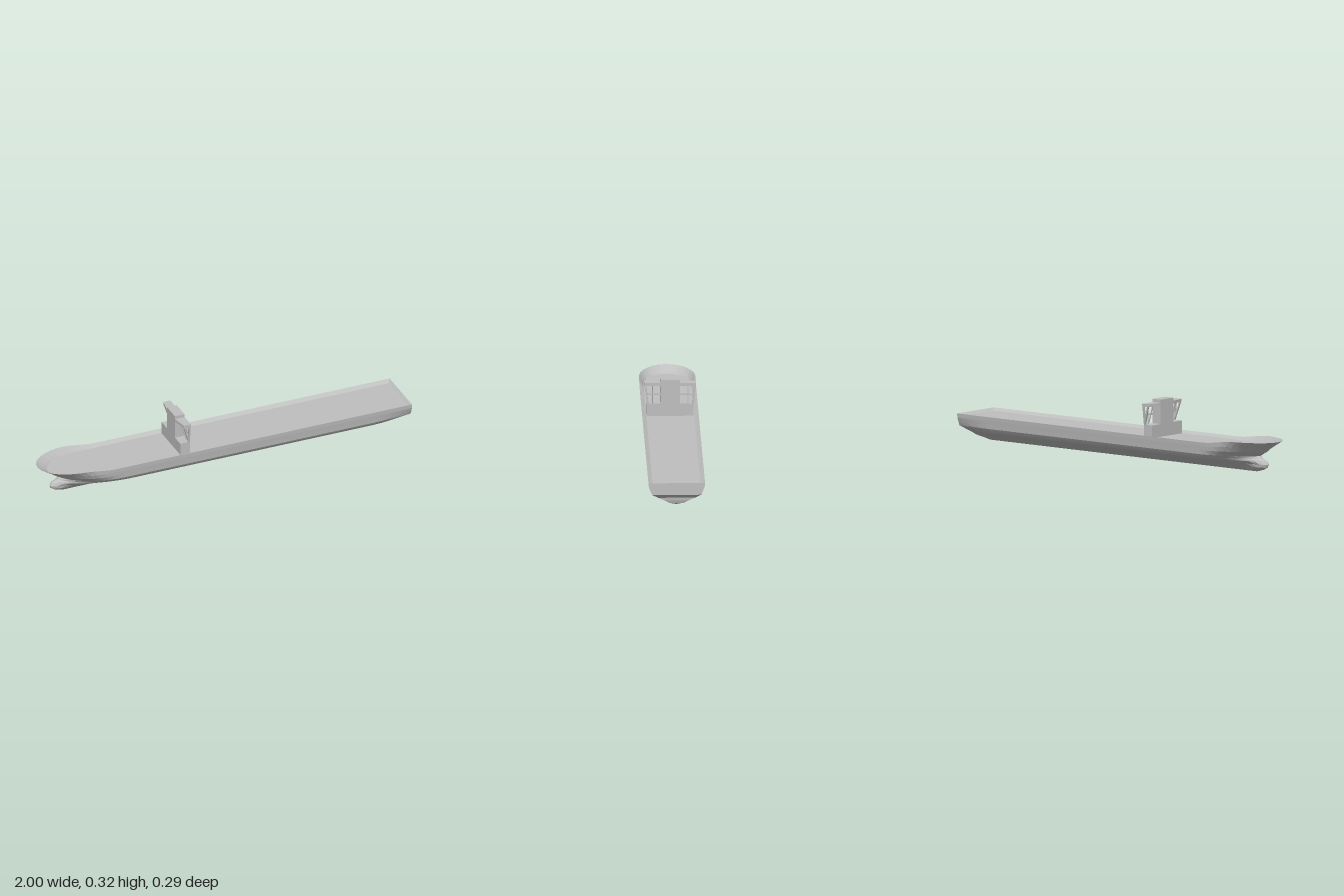
import * as THREE from 'three';

const lerp = THREE.MathUtils.lerp;

// Waterlines: y, half breadth, stem x, full-width x, entry power, bulb half width, stern x, stern narrowing
const waterlines = [
  [0, 0, -0.86, -0.55, 1, 0, 0.90, 1],
  [0.012, 0.026, -0.905, -0.5, 2, 0.015, 0.93, 0.6],
  [0.025, 0.055, -0.928, -0.5, 2, 0.024, 0.965, 0.65],
  [0.04, 0.087, -0.935, -0.5, 2, 0.026, 0.97, 0.7],
  [0.055, 0.118, -0.925, -0.52, 1.8, 0.022, 0.972, 0.8],
  [0.067, 0.128, -0.895, -0.55, 1.6, 0.012, 0.985, 0.86],
  [0.078, 0.135, -0.88, -0.58, 1.4, 0, 1, 0.92],
  [0.1, 0.138, -0.92, -0.65, 1.2, 0, 1, 0.97],
  [0.12, 0.141, -0.95, -0.7, 1.1, 0, 1, 1],
  [0.14, 0.143, -1, -0.78, 1, 0, 1, 1],
];
const deckLines = [
  [0.14, 0.143, -1, -0.78, 1, 0, 1, 1],
  [0.127, 0.121, -0.945, -0.76, 1, 0, 0.985, 1],
];
const deckPlane = [
  [0.127, 0.121, -0.945, -0.76, 1, 0, 0.985, 1],
  [0.127, 0, -0.945, -0.76, 1, 0, 0.985, 1],
];

// Quarter-ellipse rise from 0 to 1
const round = (u) => Math.sqrt(1 - (1 - THREE.MathUtils.clamp(u, 0, 1)) ** 2);

// Points of one waterline, from the stem along the side and across the stern
function waterlinePoints([y, breadth, stem, full, power, bulb, stern, narrow], withSheer) {
  const xs = [];
  for (let k = 0; k <= 14; k++) xs.push(lerp(stem, -0.5, (k / 14) ** 1.6));
  xs.push(0.14);
  for (let k = 0; k <= 4; k++) xs.push(lerp(0.8, stern, k / 4));
  const points = xs.map((x) => {
    const body = breadth * round((x - stem) / (full - stem)) ** power;
    const nose = bulb * round((x - stem) / 0.06);
    const aft = lerp(1, narrow, Math.max(0, (x - 0.8) / (stern - 0.8)) ** 1.5);
    const rise = withSheer ? 0.021 * (1 - THREE.MathUtils.smoothstep(x, -0.82, -0.62)) * (y / 0.14) ** 4 : 0;
    return new THREE.Vector3(x, y + rise, Math.max(body, nose) * aft);
  });
  const corner = points[points.length - 1];
  for (const f of [0.5, 0]) points.push(new THREE.Vector3(corner.x, corner.y, corner.z * f));
  return points;
}

// Skin between successive rows, mirrored to both sides
function skin(rows) {
  const positions = [];
  const area = new THREE.Triangle();
  const addTriangle = (a, b, c) => {
    if (area.set(a, b, c).getArea() < 1e-9) return;
    for (const p of [a, b, c]) positions.push(p.x, p.y, p.z);
    for (const p of [a, c, b]) positions.push(p.x, p.y, -p.z);
  };
  for (let r = 0; r < rows.length - 1; r++) {
    for (let c = 0; c < rows[r].length - 1; c++) {
      const a = rows[r][c], b = rows[r][c + 1], d = rows[r + 1][c], e = rows[r + 1][c + 1];
      addTriangle(a, b, e);
      addTriangle(a, e, d);
    }
  }
  const geometry = new THREE.BufferGeometry();
  geometry.setAttribute('position', new THREE.Float32BufferAttribute(positions, 3));
  geometry.computeVertexNormals();
  return geometry;
}

export function createModel() {
  const model = new THREE.Group();
  model.name = 'cargoShip';
  const grey = new THREE.MeshStandardMaterial({ color: 0xbfbfbf, flatShading: true, side: THREE.DoubleSide });
  grey.name = 'light grey';

  const add = (parent, name, geometry) => {
    const mesh = new THREE.Mesh(geometry, grey);
    mesh.name = name;
    parent.add(mesh);
    return mesh;
  };
  const box = (parent, name, x0, x1, y0, y1, z0, z1) =>
    add(parent, name, new THREE.BoxGeometry(x1 - x0, y1 - y0, Math.abs(z1 - z0)))
      .position.set((x0 + x1) / 2, (y0 + y1) / 2, (z0 + z1) / 2);

  // Square bar between two points
  const bar = (parent, name, from, to, thick, wide) => {
    const a = new THREE.Vector3(...from), b = new THREE.Vector3(...to);
    const mesh = add(parent, name, new THREE.BoxGeometry(thick, a.distanceTo(b), wide));
    mesh.position.copy(a).add(b).multiplyScalar(0.5);
    mesh.quaternion.setFromUnitVectors(new THREE.Vector3(0, 1, 0), b.sub(a).normalize());
  };

  // Hull, inner bulwark and deck
  add(model, 'hull', skin(waterlines.map((w) => waterlinePoints(w, true))));
  add(model, 'bulwark', skin(deckLines.map((w, i) => waterlinePoints(w, i === 0))));
  add(model, 'deck', skin(deckPlane.map((w) => waterlinePoints(w, false))));

  // Deckhouse and bridge tower
  const house = new THREE.Group();
  house.name = 'superstructure';
  model.add(house);
  box(house, 'deckhouse', -0.265, -0.212, 0.125, 0.192, -0.118, 0.118);
  box(house, 'bridgeTower', -0.265, -0.212, 0.192, 0.316, -0.05, 0.05);

  // Bridge wings on open frames
  for (const s of [1, -1]) {
    const wing = new THREE.Group();
    wing.name = s > 0 ? 'leftBridgeWing' : 'rightBridgeWing';
    house.add(wing);

    const plan = new THREE.Shape([
      [-0.265, 0.05], [-0.212, 0.05], [-0.212, 0.131], [-0.25, 0.131],
    ].map(([x, z]) => new THREE.Vector2(x, -s * z)));
    const roof = add(wing, 'wingRoof', new THREE.ExtrudeGeometry(plan, { depth: 0.015, bevelEnabled: false }));
    roof.rotation.x = -Math.PI / 2;
    roof.position.y = 0.285;

    bar(wing, 'outerPost', [-0.217, 0.19, s * 0.114], [-0.217, 0.29, s * 0.126], 0.009, 0.009);
    bar(wing, 'outerBrace', [-0.217, 0.19, s * 0.114], [-0.247, 0.29, s * 0.126], 0.007, 0.009);
    bar(wing, 'innerPost', [-0.215, 0.19, s * 0.089], [-0.215, 0.29, s * 0.089], 0.005, 0.004);
    bar(wing, 'innerBrace', [-0.217, 0.19, s * 0.089], [-0.247, 0.29, s * 0.089], 0.005, 0.004);
    box(wing, 'rail', -0.219, -0.213, 0.237, 0.245, s * 0.05, s * 0.119);
  }
  return model;
}
